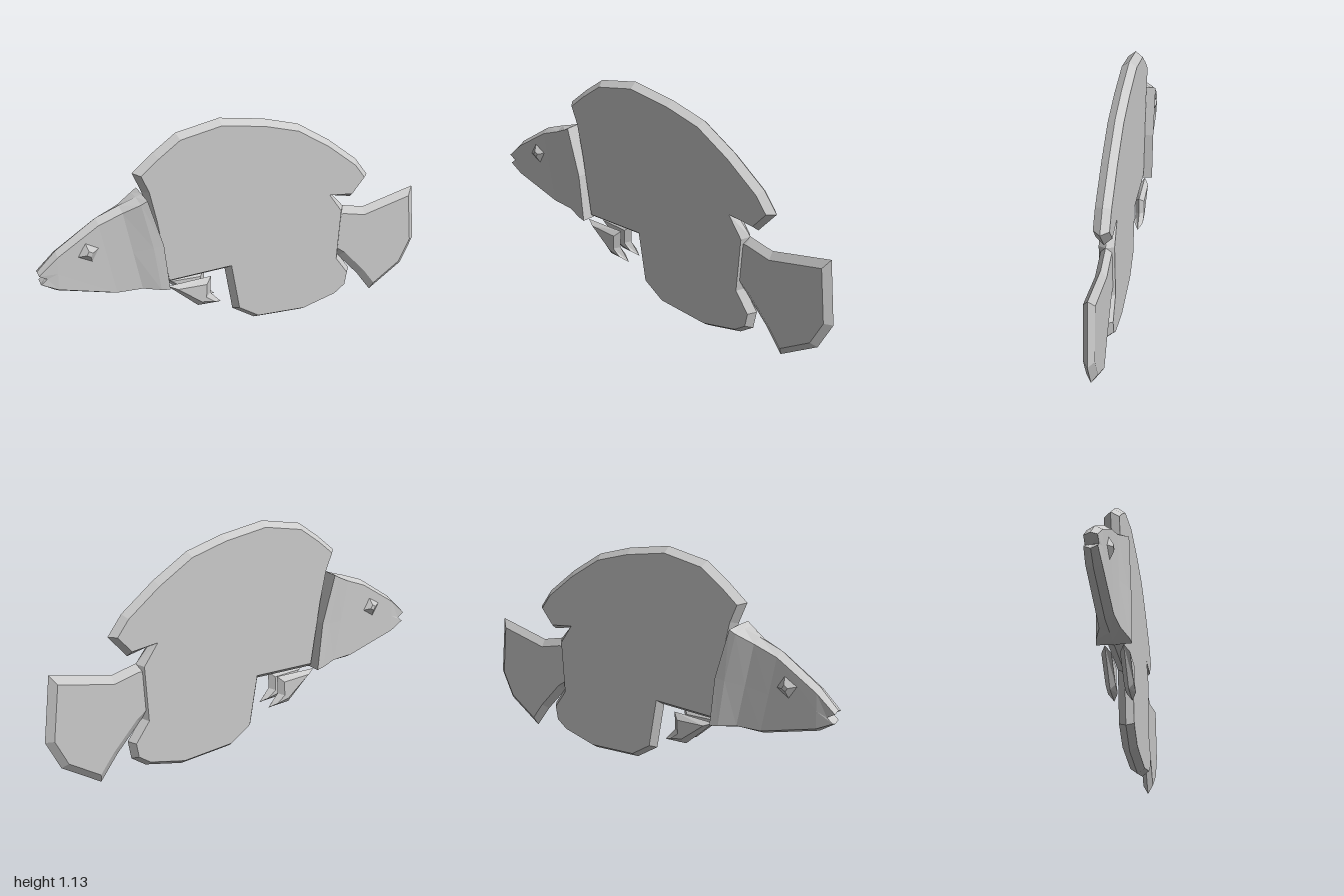
import * as THREE from 'three';

const material = new THREE.MeshStandardMaterial({ color: 0xcccccc, flatShading: true });

function makeMesh(name, positions) {
  const geometry = new THREE.BufferGeometry();
  geometry.setAttribute('position', new THREE.Float32BufferAttribute(positions, 3));
  geometry.computeVertexNormals();
  const mesh = new THREE.Mesh(geometry, material);
  mesh.name = name;
  return mesh;
}

// Moves every corner of a counter-clockwise outline inward by a mitred distance
function insetOutline(points, distance) {
  const n = points.length;
  return points.map((p, i) => {
    const a = p.clone().sub(points[(i + n - 1) % n]).normalize();
    const b = points[(i + 1) % n].clone().sub(p).normalize();
    const miter = new THREE.Vector2(-a.y - b.y, a.x + b.x).normalize();
    const cos = Math.max(0.6, miter.x * -a.y + miter.y * a.x);
    return p.clone().addScaledVector(miter, distance / cos);
  });
}

// Flat plate whose rim narrows to a ridge halfway through its thickness
function plate(name, outline, halfDepth, bevel) {
  const rim = outline.map(([x, y]) => new THREE.Vector2(x, y));
  if (THREE.ShapeUtils.isClockWise(rim)) rim.reverse();
  const face = insetOutline(rim, bevel);
  const triangles = THREE.ShapeUtils.triangulateShape(face, []);
  const out = [];
  for (const side of [1, -1]) {
    const add = (...corners) => {
      if (side < 0) corners.reverse();
      for (const [p, z] of corners) out.push(p.x, p.y, z * side);
    };
    for (const t of triangles) add(...t.map((k) => [face[k], halfDepth]));
    rim.forEach((p, i) => {
      const j = (i + 1) % rim.length;
      add([p, 0], [rim[j], 0], [face[j], halfDepth]);
      add([p, 0], [face[j], halfDepth], [face[i], halfDepth]);
    });
  }
  return makeMesh(name, out);
}

// Head lofted from the mouth to the flared gill cover
function buildHead() {
  // top x, top y, bottom x, bottom y, half width, bevel, forward shift of the middle
  const sections = [
    [-1.0, 0.565, -0.99, 0.5, 0.028, 0.01, 0.032],
    [-0.91, 0.65, -0.92, 0.45, 0.033, 0.02, 0],
    [-0.72, 0.77, -0.65, 0.365, 0.036, 0.022, 0],
    [-0.61, 0.808, -0.53, 0.362, 0.045, 0.02, 0],
    [-0.53, 0.832, -0.45, 0.36, 0.072, 0.008, 0.01],
    [-0.5, 0.842, -0.41, 0.36, 0.078, 0.002, 0.022],
  ];
  const rings = sections.map(([xt, yt, xb, yb, w, bevel, shift]) => {
    const at = (y, z, dx = 0) => [xb + (xt - xb) * (y - yb) / (yt - yb) + dx, y, z];
    const mid = (yt + yb) / 2;
    return [
      at(yt, 0), at(yt - bevel, w), at(mid, w, shift), at(yb + bevel, w),
      at(yb, 0), at(yb + bevel, -w), at(mid, -w, shift), at(yt - bevel, -w),
    ];
  });
  const out = [];
  const add = (...corners) => corners.forEach((c) => out.push(...c));
  const centre = (ring) => [ring[2][0], ring[2][1], 0];
  const first = rings[0];
  const last = rings[rings.length - 1];
  for (let j = 0; j < 8; j++) {
    const k = (j + 1) % 8;
    for (let i = 0; i < rings.length - 1; i++) {
      const a = rings[i], b = rings[i + 1];
      add(a[j], a[k], b[k]);
      add(a[j], b[k], b[j]);
    }
    add(centre(first), first[k], first[j]);
    add(centre(last), last[j], last[k]);
  }
  return makeMesh('head', out);
}

export function createModel() {
  const fish = new THREE.Group();
  fish.name = 'fish';

  // Body with the dorsal fin above and the anal fin below
  fish.add(plate('body', [
    [-0.5, 0.85], [-0.54, 0.95], [-0.44, 1.03], [-0.33, 1.105], [-0.12, 1.14],
    [0.1, 1.1], [0.28, 1.045], [0.45, 0.935], [0.61, 0.805], [0.68, 0.71],
    [0.59, 0.605], [0.49, 0.63], [0.55, 0.56], [0.535, 0.29], [0.605, 0.19],
    [0.59, 0.1], [0.52, 0.05], [0.33, 0.008], [0.06, 0.035], [-0.06, 0.12],
    [-0.1, 0.36], [-0.19, 0.36], [-0.42, 0.36], [-0.47, 0.7],
  ], 0.035, 0.026));

  fish.add(buildHead());

  // Tail fin rooted inside the body
  fish.add(plate('tailFin', [
    [0.48, 0.56], [0.55, 0.562], [0.67, 0.53], [0.96, 0.588], [0.997, 0.28],
    [0.93, 0.14], [0.745, 0.022], [0.66, 0.14], [0.54, 0.275], [0.48, 0.32],
  ], 0.025, 0.035));

  for (const side of [1, -1]) {
    const label = side > 0 ? 'left' : 'right';

    // Pelvic fin
    const fin = plate(label + 'PelvicFin', [
      [-0.41, 0.36], [-0.19, 0.36], [-0.195, 0.27], [-0.14, 0.205], [-0.26, 0.215],
    ], 0.022, 0.028);
    fin.position.z = side * 0.041;
    fish.add(fin);

    // Faceted eye
    const shape = new THREE.CylinderGeometry(0.015, 0.058, 0.024, 4);
    shape.rotateY(0.25).rotateX(Math.PI / 2);
    const eye = new THREE.Mesh(shape, material);
    eye.name = label + 'Eye';
    eye.position.set(-0.77, 0.625, side * 0.042);
    if (side < 0) eye.rotation.x = Math.PI;
    fish.add(eye);
  }
  return fish;
}
